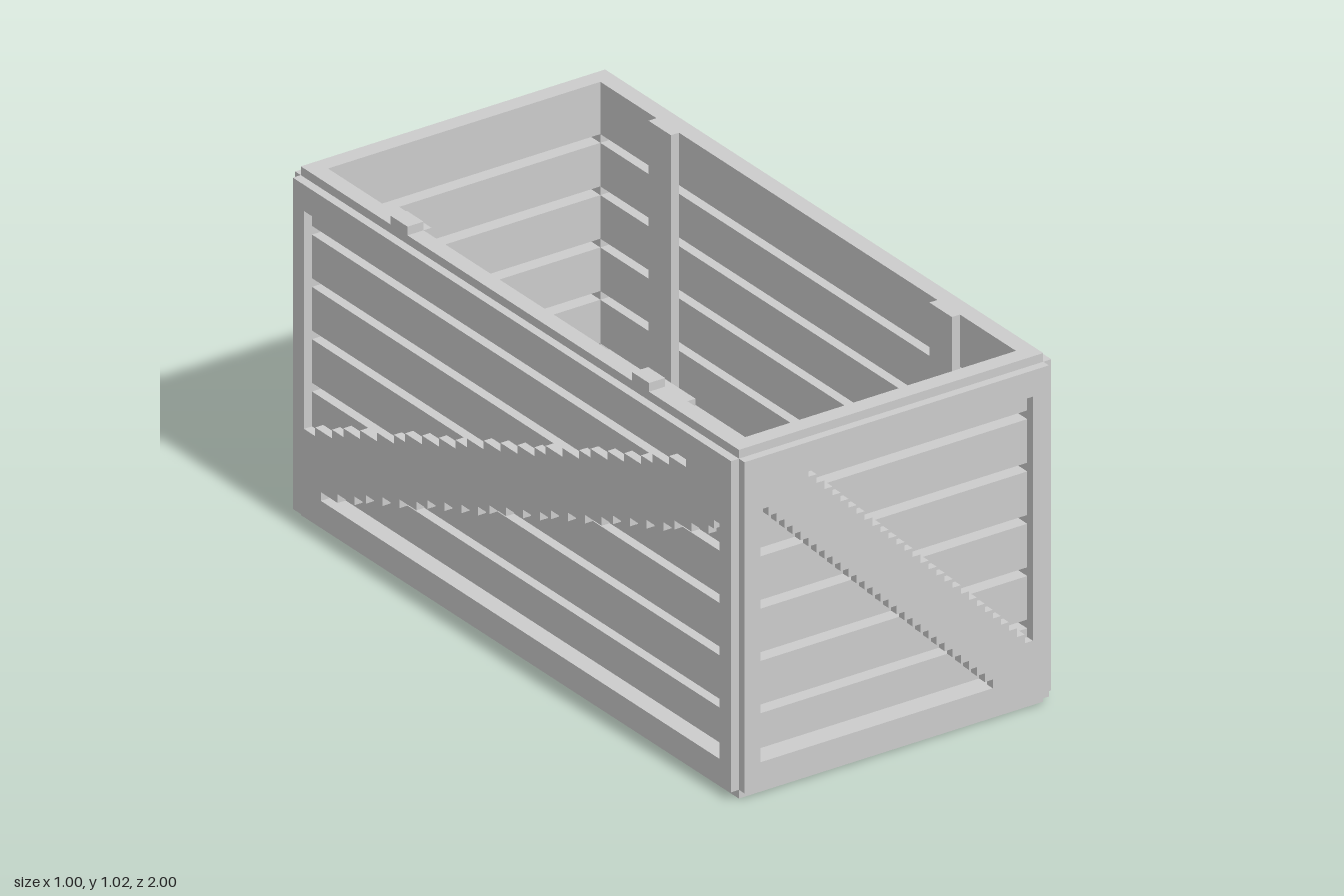
import * as THREE from 'three';

const U = 0.025; // grid step
const snap = (v) => Math.round(v / U) * U;
const material = new THREE.MeshStandardMaterial({ color: 0xcccccc, flatShading: true });

// Box given by its extents on each axis
function box(name, [x0, x1], [y0, y1], [z0, z1]) {
  const mesh = new THREE.Mesh(new THREE.BoxGeometry(x1 - x0, y1 - y0, z1 - z0), material);
  mesh.position.set((x0 + x1) / 2, (y0 + y1) / 2, (z0 + z1) / 2);
  mesh.name = name;
  return mesh;
}

// Stepped triangular opening; dir = 1 for upper right, -1 for lower left
function stairHole(half, dir, start, slope, rows) {
  const y0 = dir > 0 ? 0.9 : 0.1;
  const pts = [new THREE.Vector2(dir * half, y0)];
  for (let k = 0; k < rows; k++) {
    const u = dir * Math.min(snap(start + k * slope), half - U);
    pts.push(new THREE.Vector2(u, y0 - dir * k * U), new THREE.Vector2(u, y0 - dir * (k + 1) * U));
  }
  pts.push(new THREE.Vector2(dir * half, y0 - dir * rows * U));
  return new THREE.Path(pts);
}

function rectangle(Type, half, y0, y1) {
  return new Type([[-half, y0], [half, y0], [half, y1], [-half, y1]].map((p) => new THREE.Vector2(...p)));
}

function extrude(name, shape, depth) {
  const mesh = new THREE.Mesh(new THREE.ExtrudeGeometry(shape, { depth, bevelEnabled: false }), material);
  mesh.name = name;
  return mesh;
}

// Outer frame with a diagonal brace
function bracedFrame(name, half, upper, lower, slope) {
  const shape = rectangle(THREE.Shape, half, U, 0.975);
  shape.holes.push(
    stairHole(half - 0.05, 1, upper.start, slope, upper.rows),
    stairHole(half - 0.05, -1, lower.start, slope, lower.rows));
  return extrude(name, shape, U);
}

export function createModel() {
  const crate = new THREE.Group();
  crate.name = 'slattedCrate';
  const gaps = [0.1, 0.225, 0.375, 0.525, 0.675, 0.825];

  for (const s of [-1, 1]) {
    const end = s > 0 ? 'front' : 'back';
    const side = s > 0 ? 'left' : 'right';

    // End walls: horizontal slats between the side walls, frame outside
    const z = s > 0 ? [0.925, 0.975] : [-0.975, -0.925];
    for (let i = 0; i <= gaps.length; i++) {
      const y = [i ? gaps[i - 1] + U : 0, i < gaps.length ? gaps[i] : 1];
      crate.add(box(end + 'Slat', [-0.425, 0.425], y, z));
    }
    const endFrame = bracedFrame(end + 'Frame', 0.475,
      { start: -0.275, rows: 28 }, { start: -0.3, rows: 29 }, U);
    endFrame.position.z = s > 0 ? 0.975 : -1;
    crate.add(endFrame);

    // Side walls: slotted panel with solid corners, frame outside
    const panelShape = rectangle(THREE.Shape, 0.975, 0, 1);
    for (const g of gaps) panelShape.holes.push(rectangle(THREE.Path, 0.925, g, g + U));
    const panel = extrude(side + 'SlatPanel', panelShape, 0.05);
    panel.rotation.y = Math.PI / 2;
    panel.position.x = s > 0 ? 0.425 : -0.475;
    const sideFrame = bracedFrame(side + 'Frame', 0.975,
      { start: -0.775, rows: 25 }, { start: -0.85, rows: 27 }, 0.06875);
    sideFrame.rotation.y = Math.PI / 2;
    sideFrame.position.x = s > 0 ? 0.475 : -0.5;
    crate.add(panel, sideFrame);

    // Inner battens: a floor crossbar and two uprights at each end
    const bz = s > 0 ? [0.575, 0.675] : [-0.675, -0.575];
    crate.add(box('floorBatten', [-0.4, 0.4], [0.075, 0.1], bz));
    crate.add(box('leftBatten', [0.4, 0.425], [0.075, 1], bz));
    crate.add(box('rightBatten', [-0.425, -0.4], [0.075, 1], bz));

    // Hooks over the right rim
    const hz = s > 0 ? [0.5, 0.575] : [-0.575, -0.5];
    crate.add(box('hookTop', [-0.475, -0.425], [1, 1.025], hz));
    crate.add(box('hookDrop', [-0.425, -0.4], [0.9, 1], hz));
  }

  // Floor slats, recessed above the bottom edge
  for (const x of [[-0.4, -0.275], [-0.25, -0.1], [-0.075, 0.075], [0.1, 0.25], [0.275, 0.4]]) {
    crate.add(box('floorSlat', x, [0.025, 0.075], [-0.925, 0.925]));
  }
  return crate;
}
